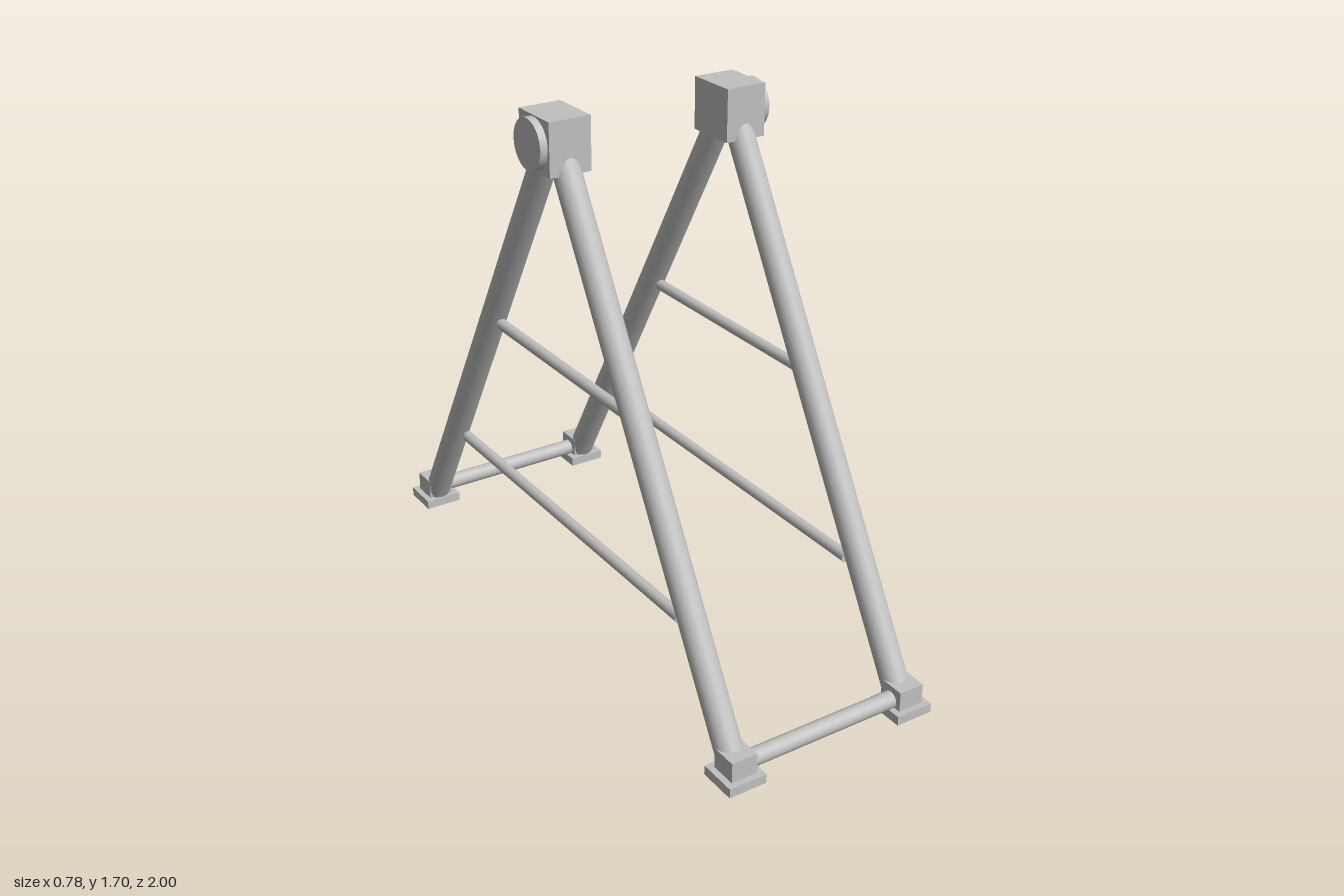
import * as THREE from 'three';

const steel = new THREE.MeshStandardMaterial({ color: 0xc0c0c0 });
steel.name = 'grey steel';

function box(name, w, h, d, x, y, z) {
  const mesh = new THREE.Mesh(new THREE.BoxGeometry(w, h, d), steel);
  mesh.name = name;
  mesh.position.set(x, y, z);
  return mesh;
}

// Round bar between two points
function bar(name, from, to, radius, sides) {
  const a = new THREE.Vector3(...from), b = new THREE.Vector3(...to);
  const dir = b.clone().sub(a);
  const mesh = new THREE.Mesh(new THREE.CylinderGeometry(radius, radius, dir.length(), sides), steel);
  mesh.name = name;
  mesh.position.copy(a).add(b).multiplyScalar(0.5);
  mesh.quaternion.setFromUnitVectors(new THREE.Vector3(0, 1, 0), dir.normalize());
  return mesh;
}

export function createModel() {
  const model = new THREE.Group();
  model.name = 'standFrame';
  const X = 0.3, footZ = 0.938;

  for (const s of [1, -1]) {
    const side = new THREE.Group();
    side.name = s > 0 ? 'leftFrame' : 'rightFrame';
    const x = s * X;

    // Bearing block with its round outer cap
    side.add(box('bearingBlock', 0.135, 0.163, 0.17, x, 1.614, 0));
    side.add(bar('bearingCap', [s * 0.33, 1.614, 0], [s * 0.391, 1.614, 0], 0.077, 32));

    // Sloping legs and stepped feet
    for (const f of [1, -1]) {
      const z = f * footZ;
      side.add(bar(f > 0 ? 'frontLeg' : 'backLeg', [x, 0.021, z], [x, 1.645, 0], 0.042, 24));
      side.add(box('footPlate', 0.125, 0.03, 0.124, x, 0.021, z));
      side.add(box('footBlock', 0.085, 0.067, 0.085, x, 0.067, z));
    }

    // Horizontal braces between the legs
    side.add(bar('upperBrace', [x, 0.906, -0.373], [x, 0.906, 0.373], 0.018, 16));
    side.add(bar('lowerBrace', [x, 0.382, -0.655], [x, 0.382, 0.655], 0.018, 16));
    model.add(side);
  }

  // Bars joining the feet across the stand
  for (const f of [1, -1]) {
    model.add(bar(f > 0 ? 'frontCrossBar' : 'backCrossBar',
      [-X, 0.055, f * footZ], [X, 0.055, f * footZ], 0.027, 16));
  }
  return model;
}
